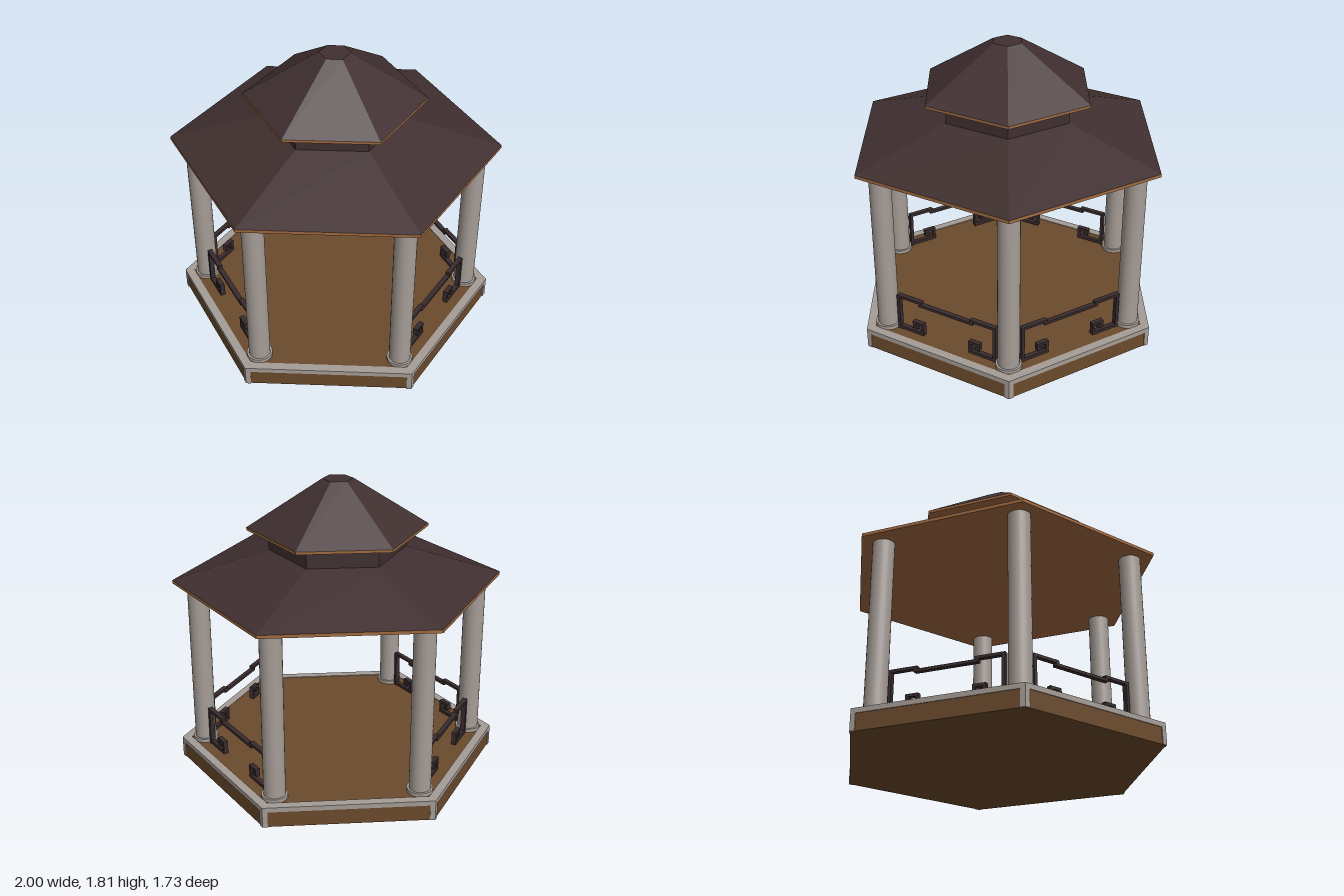
import * as THREE from 'three';

const COS30 = Math.sqrt(3) / 2;

export function createModel() {
  const root = new THREE.Group();
  root.name = 'hexagonalPavilion';

  const material = (name, color) => {
    const m = new THREE.MeshStandardMaterial({ color });
    m.name = name;
    return m;
  };
  const stone = material('stone', 0xa59c96);
  const wood = material('brownWood', 0x6b4a2c);
  const trim = material('eaveTrim', 0xa06a40);
  const dark = material('darkRoof', 0x402f30);
  const lattice = material('railingWood', 0x382b2d);

  const add = (parent, name, geometry, mat, x = 0, y = 0, z = 0) => {
    const mesh = new THREE.Mesh(geometry, mat);
    mesh.name = name;
    mesh.position.set(x, y, z);
    parent.add(mesh);
    return mesh;
  };

  // Six-sided prism or frustum with corners on the x axis and crisp faces
  const hex = (name, rTop, rBottom, y0, y1, mat) => {
    const g = new THREE.CylinderGeometry(rTop, rBottom, y1 - y0, 6, 1, false, Math.PI / 2).toNonIndexed();
    g.computeVertexNormals();
    return add(root, name, g, mat, 0, (y0 + y1) / 2, 0);
  };

  // Platform: wooden core, stone rim and corner strips
  hex('platform', 0.994, 0.994, 0, 0.125, wood);
  const hexPoints = (r) => Array.from({ length: 6 }, (_, i) =>
    new THREE.Vector2(r * Math.cos(i * Math.PI / 3), r * Math.sin(i * Math.PI / 3)));
  const rimShape = new THREE.Shape(hexPoints(1));
  rimShape.holes.push(new THREE.Path(hexPoints(0.94).reverse()));
  const rim = new THREE.ExtrudeGeometry(rimShape, { depth: 0.03, bevelEnabled: false });
  rim.rotateX(-Math.PI / 2);
  add(root, 'platformRim', rim, stone, 0, 0.1, 0);

  const strip = new THREE.BoxGeometry(0.03, 0.1, 0.006);
  for (let i = 0; i < 6; i++) {
    const side = new THREE.Group();
    side.name = 'cornerStrips';
    side.rotation.y = i * Math.PI / 3;
    for (const s of [-1, 1]) add(side, 'cornerStrip', strip, stone, s * 0.485, 0.05, COS30 - 0.003);
    root.add(side);
  }

  // Columns with round foot rings
  const shaft = new THREE.CylinderGeometry(0.065, 0.065, 1.07, 24);
  const foot = new THREE.CylinderGeometry(0.078, 0.078, 0.025, 24);
  for (let i = 0; i < 6; i++) {
    const a = i * Math.PI / 3;
    const x = 0.85 * Math.cos(a), z = 0.85 * Math.sin(a);
    add(root, 'column', shaft, stone, x, 0.655, z);
    add(root, 'columnFoot', foot, stone, x, 0.1355, z);
  }

  // Railings on the four slanted sides; front and back stay open
  const bars = [ // x0, x1, y0, y1 of one half, mirrored below
    [0.325, 0.345, 0.125, 0.37],  // post
    [0.17, 0.345, 0.353, 0.37],   // upper handrail
    [0.17, 0.19, 0.335, 0.37],    // step
    [0, 0.19, 0.335, 0.352],      // lower handrail
    [0.158, 0.345, 0.128, 0.147], // floor bar
    [0.158, 0.176, 0.128, 0.212], // curl
    [0.158, 0.236, 0.195, 0.212],
    [0.218, 0.236, 0.165, 0.212],
    [0.198, 0.236, 0.165, 0.182],
  ];
  for (const i of [1, 2, 4, 5]) {
    const railing = new THREE.Group();
    railing.name = 'railing';
    railing.rotation.y = i * Math.PI / 3;
    for (const [x0, x1, y0, y1] of bars) {
      const g = new THREE.BoxGeometry(x1 - x0, y1 - y0, 0.03);
      for (const s of [-1, 1])
        add(railing, 'railingBar', g, lattice, s * (x0 + x1) / 2, (y0 + y1) / 2, 0.85 * COS30);
    }
    root.add(railing);
  }

  // Two-tier roof
  hex('lowerEave', 1, 1, 1.185, 1.205, trim);
  hex('lowerRoof', 0.415, 1, 1.205, 1.385, dark);
  hex('roofNeck', 0.415, 0.415, 1.38, 1.515, dark);
  hex('upperEave', 0.545, 0.545, 1.51, 1.527, trim);
  hex('upperRoof', 0.093, 0.545, 1.527, 1.815, dark);

  return root;
}
